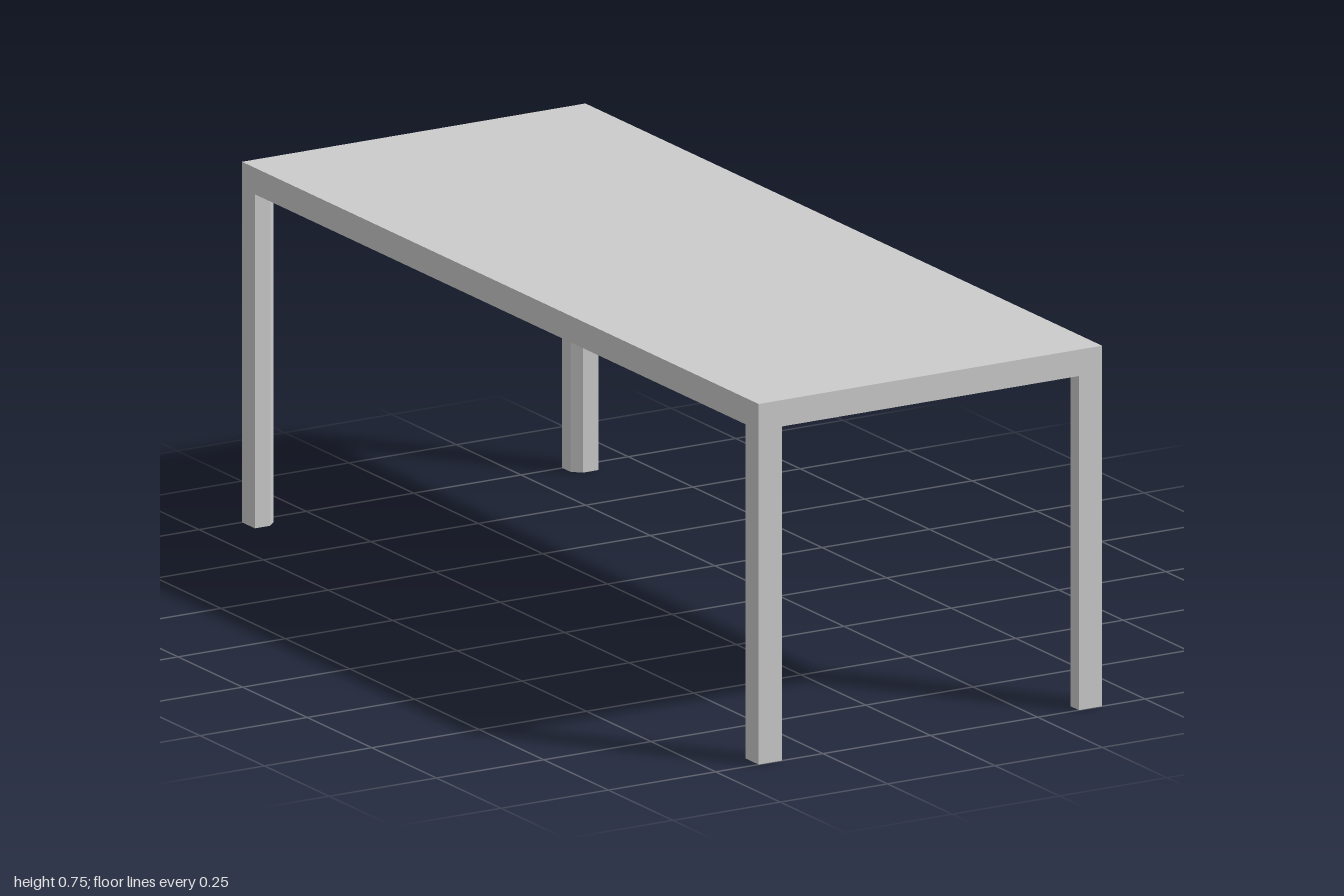
import * as THREE from 'three';

const W = 0.4, D = 1, H = 0.75;        // half width, half depth, height
const LEG_X = 0.054, LEG_Z = 0.05;     // leg section
const APRON_Y = 0.695, TOP_Y = 0.735;  // underside of apron and of top panel
const RIM = 0.025;                     // apron thickness

const material = new THREE.MeshStandardMaterial({ color: 0xcccccc });

function box(name, w, h, d, x, y, z) {
  const mesh = new THREE.Mesh(new THREE.BoxGeometry(w, h, d), material);
  mesh.name = name;
  mesh.position.set(x, y, z);
  return mesh;
}

// Prism over an (x, z) outline, from y0 to y1
function prism(name, points, y0, y1, holes = []) {
  const toVec = ([x, z]) => new THREE.Vector2(x, -z);
  const shape = new THREE.Shape(points.map(toVec));
  holes.forEach((h) => shape.holes.push(new THREE.Path(h.map(toVec))));
  const geo = new THREE.ExtrudeGeometry(shape, { depth: y1 - y0, bevelEnabled: false });
  geo.rotateX(-Math.PI / 2);
  geo.translate(0, y0, 0);
  const mesh = new THREE.Mesh(geo, material);
  mesh.name = name;
  return mesh;
}

// Counter-clockwise seen from above, so that holes are wound correctly
const rect = (x, z) => [[-x, z], [x, z], [x, -z], [-x, -z]];

// Square corner section with its inner corner cut off
const chamfered = (x0, z0, x1, z1, c) => [[x0, z0], [x1, z0], [x1, z1 - c], [x1 - c, z1], [x0, z1]];

export function createModel() {
  const table = new THREE.Group();
  table.name = 'table';

  // Top panel and the apron frame flush with its edge
  table.add(box('tableTop', 2 * W, H - TOP_Y, 2 * D, 0, (H + TOP_Y) / 2, 0));
  table.add(prism('apronFrame', rect(W, D), APRON_Y, TOP_Y, [rect(W - RIM, D - RIM).reverse()]));

  // Stiffening rail along the middle of the underside
  table.add(box('centreRail', 0.04, 0.03, 2 * (D - RIM), 0, TOP_Y - 0.015, 0));

  // Legs with a chamfered inner corner, and a mounting block above each
  for (const [sx, sz, corner] of [[1, 1, 'FrontLeft'], [-1, 1, 'FrontRight'], [1, -1, 'BackLeft'], [-1, -1, 'BackRight']]) {
    const place = (pts) => pts.map(([x, z]) => [sx * (W - x), sz * (D - z)]);
    table.add(prism('leg' + corner, place(chamfered(0, 0, LEG_X, LEG_Z, 0.018)), 0, APRON_Y));
    table.add(prism('cornerBlock' + corner, place(chamfered(RIM, RIM, 0.12, 0.12, 0.03)), APRON_Y, TOP_Y));
  }
  return table;
}
